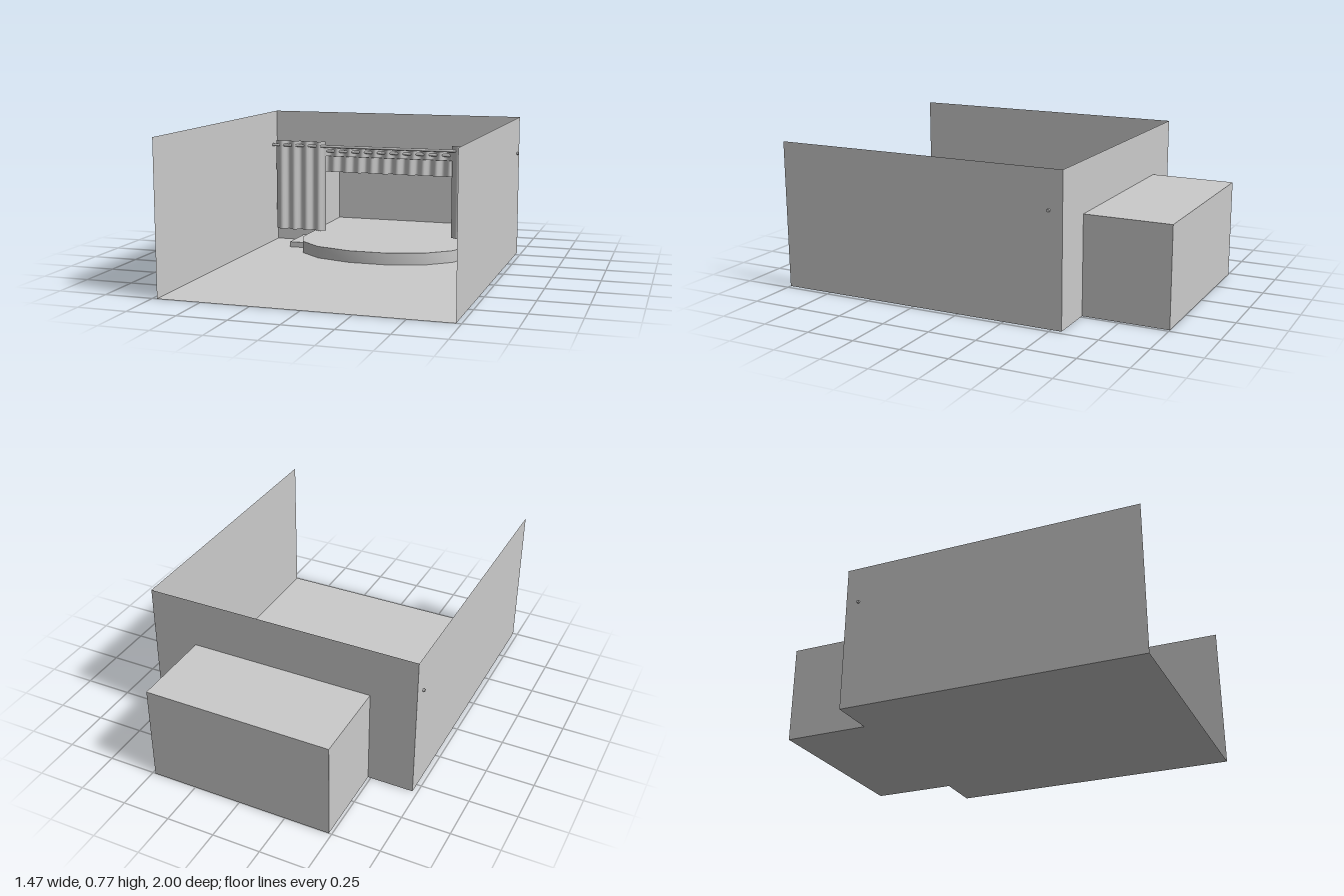
import * as THREE from 'three';
import { toCreasedNormals } from 'three/addons/utils/BufferGeometryUtils.js';

const W = 0.725, H = 0.77, FRONT = 1, BACK = -0.555, REAR = -1; // hall
const AW = 0.485, AH = 0.51;                                   // stage alcove
const PERIOD = 0.077;                                          // curtain fold width

export function createModel() {
  const model = new THREE.Group();
  const material = new THREE.MeshStandardMaterial({ color: 0xcccccc, side: THREE.DoubleSide });

  function add(name, geometry, x = 0, y = 0, z = 0) {
    const mesh = new THREE.Mesh(geometry, material);
    mesh.name = name;
    mesh.position.set(x, y, z);
    model.add(mesh);
    return mesh;
  }

  // Thin horizontal sheet between two z values
  function flat(name, halfWidth, y, z0, z1) {
    const g = new THREE.PlaneGeometry(halfWidth * 2, z1 - z0).rotateX(-Math.PI / 2);
    add(name, g, 0, y, (z0 + z1) / 2);
  }

  // Thin side wall facing outward
  function side(name, x, height, z0, z1) {
    const g = new THREE.PlaneGeometry(z1 - z0, height).rotateY(Math.sign(x) * Math.PI / 2);
    add(name, g, x, height / 2, (z0 + z1) / 2);
  }

  // Hanging cloth with rounded folds
  function curtain(name, x0, x1, y0, y1, z, depth) {
    const width = x1 - x0;
    const g = new THREE.PlaneGeometry(width, y1 - y0, Math.round(width / PERIOD * 8), 1);
    const p = g.attributes.position;
    for (let i = 0; i < p.count; i++) {
      const along = p.getX(i) + width / 2;
      p.setZ(i, -depth * Math.cos(along / PERIOD * Math.PI * 2));
    }
    g.computeVertexNormals();
    add(name, g, (x0 + x1) / 2, (y0 + y1) / 2, z);
  }

  function rod(name, halfLength, y, z) {
    const g = new THREE.CylinderGeometry(0.008, 0.008, halfLength * 2, 12).rotateZ(Math.PI / 2);
    add(name, g, 0, y, z);
  }

  // Hall shell, open at the top and front
  flat('hallFloor', W, 0, BACK, FRONT);
  side('leftWall', W, H, BACK, FRONT);
  side('rightWall', -W, H, BACK, FRONT);

  // Back wall with the stage opening cut out of its lower edge
  const wall = new THREE.Shape([
    [-W, 0], [-AW, 0], [-AW, AH], [AW, AH], [AW, 0], [W, 0], [W, H], [-W, H],
  ].map(([x, y]) => new THREE.Vector2(x, y)));
  add('backWall', new THREE.ShapeGeometry(wall), 0, 0, BACK);

  // Alcove behind the opening
  flat('alcoveFloor', AW, 0, REAR, BACK);
  flat('alcoveCeiling', AW, AH, REAR, BACK);
  side('alcoveLeftWall', AW, AH, REAR, BACK);
  side('alcoveRightWall', -AW, AH, REAR, BACK);
  add('alcoveRearWall', new THREE.PlaneGeometry(AW * 2, AH).rotateY(Math.PI), 0, AH / 2, REAR);

  // Stage platform with a bowed front edge, running back into the alcove
  const edge = [[0.483, REAR + 0.002], [0.483, -0.33], [0.435, -0.2], [0.305, -0.09], [0.105, -0.03]];
  const outline = [...edge, ...edge.map(([x, z]) => [-x, z]).reverse()];
  const stage = new THREE.Shape(outline.map(([x, z]) => new THREE.Vector2(x, -z)));
  const stageGeometry = new THREE.ExtrudeGeometry(stage, { depth: 0.065, bevelEnabled: false });
  stageGeometry.rotateX(-Math.PI / 2);
  add('stage', toCreasedNormals(stageGeometry, 0.7));

  // Steps on both sides of the stage
  for (const s of [1, -1]) {
    const depth = -0.33 - BACK;
    add(s > 0 ? 'leftStep' : 'rightStep', new THREE.BoxGeometry(0.08, 0.03, depth),
      s * 0.523, 0.015, BACK + depth / 2);
  }

  // Main curtains on the front rod
  rod('frontRod', 0.735, 0.575, -0.485);
  curtain('rightCurtain', -0.708, -0.4, 0.075, 0.602, -0.485, 0.013);
  curtain('leftCurtain', 0.355, 0.7, 0.075, 0.602, -0.485, 0.013);

  // Two-tier valance on the rear rod
  rod('rearRod', 0.63, 0.545, -0.515);
  curtain('upperValance', -0.605, 0.605, 0.515, 0.568, -0.512, 0.012);
  curtain('lowerValance', -0.63, 0.63, 0.42, 0.568, -0.535, 0.013);

  return model;
}
